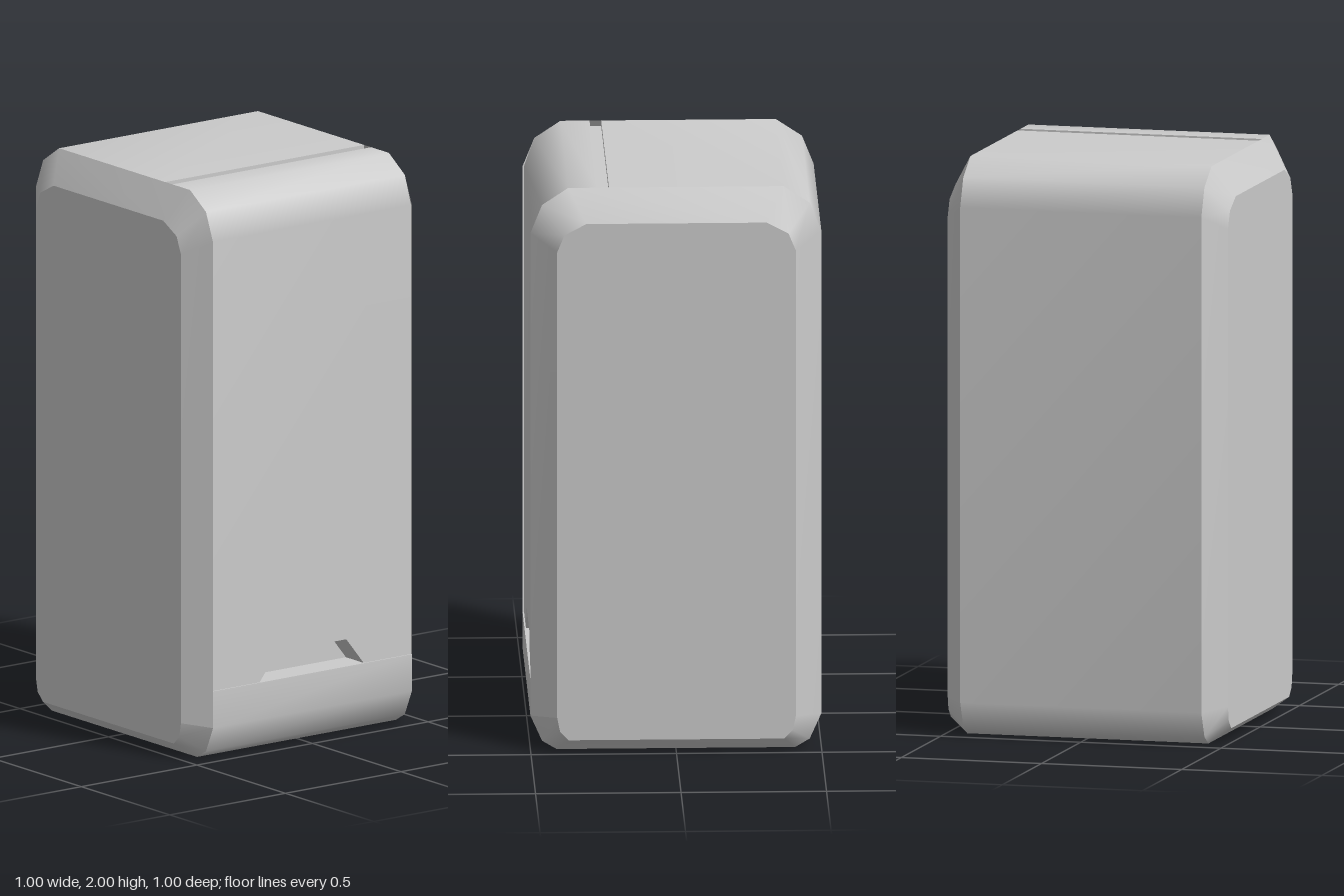
import * as THREE from 'three';

const material = new THREE.MeshStandardMaterial({ color: 0xcccccc, side: THREE.DoubleSide });

// Half sections as [z, y], running front to bottom, then back to top
const mirrorSection = (low, high) => [
  ...low,
  ...low.map(([z, y]) => [-z, y]).reverse(),
  ...high.map(([z, y]) => [-z, y]),
  ...high.slice().reverse(),
];
const outer = mirrorSection(
  [[0.5, 0.12], [0.46, 0.03], [0.41, 0]],
  [[0.5, 1.84], [0.46, 1.94], [0.37, 2]]);
const inner = mirrorSection(
  [[0.41, 0.13], [0.4, 0.08], [0.37, 0.05]],
  [[0.41, 1.79], [0.385, 1.85], [0.31, 1.89]]);

const W = 0.43; // half width of the body between the bevels
const X = 0.5; // half width overall

// Smooth strip between section a at x = xa and section b at x = xb
function strip(a, xa, b, xb) {
  const position = [], index = [];
  a.forEach(([z, y], i) => {
    position.push(xa, y, z, xb, b[i][1], b[i][0]);
    if (i < a.length - 1) {
      const k = 2 * i;
      index.push(k, k + 2, k + 1, k + 1, k + 2, k + 3);
    }
  });
  const geometry = new THREE.BufferGeometry();
  geometry.setAttribute('position', new THREE.Float32BufferAttribute(position, 3));
  geometry.setIndex(index);
  geometry.computeVertexNormals();
  return geometry;
}
const across = (section) => strip(section, -W, section, W);

export function createModel() {
  const model = new THREE.Group();
  const add = (name, geometry) => {
    const mesh = new THREE.Mesh(geometry, material);
    mesh.name = name;
    model.add(mesh);
    return mesh;
  };

  // Casing: front lip, bottom, back and top as far as the groove
  add('casing', across([[0.5, 0.25], ...outer.slice(0, 9), [0.23, 2]]));

  // Front cover: from the groove over the rounded edge and down the front
  add('frontCover', across([[0.27, 2], [0.37, 2], [0.46, 1.94], [0.495, 1.84], [0.495, 0.4]]));

  // Groove across the top
  const groove = [[0.23, 2], [0.23, 1.98], [0.27, 1.98], [0.27, 2]];
  for (let i = 0; i < 3; i++) add('topGroove', across([groove[i], groove[i + 1]]));

  // Lower edge of the cover with the finger notch cut out
  const edge = new THREE.Shape([
    [-W, 0.25], [-0.225, 0.25], [-0.15, 0.345], [0.15, 0.345], [0.225, 0.25],
    [W, 0.25], [W, 0.4], [-W, 0.4],
  ].map(([x, y]) => new THREE.Vector2(x, y)));
  add('coverLowerEdge', new THREE.ExtrudeGeometry(edge, { depth: 0.1, bevelEnabled: false }))
    .position.z = 0.395;
  add('notchBack', across([[0.395, 0.4], [0.395, 0.25]]));
  add('notchFloor', across([[0.395, 0.25], [0.5, 0.25]]));

  // Bevelled side panels
  const ring = (section) => [...section, section[0]];
  const panel = new THREE.ShapeGeometry(
    new THREE.Shape(inner.map(([z, y]) => new THREE.Vector2(z, y))));
  add('leftBevel', strip(ring(outer), W, ring(inner), X));
  add('rightBevel', strip(ring(inner), -X, ring(outer), -W));
  for (const side of [1, -1]) {
    const mesh = add(side > 0 ? 'leftPanel' : 'rightPanel', panel);
    mesh.rotation.y = side * Math.PI / 2;
    mesh.position.x = side * X;
  }
  return model;
}
